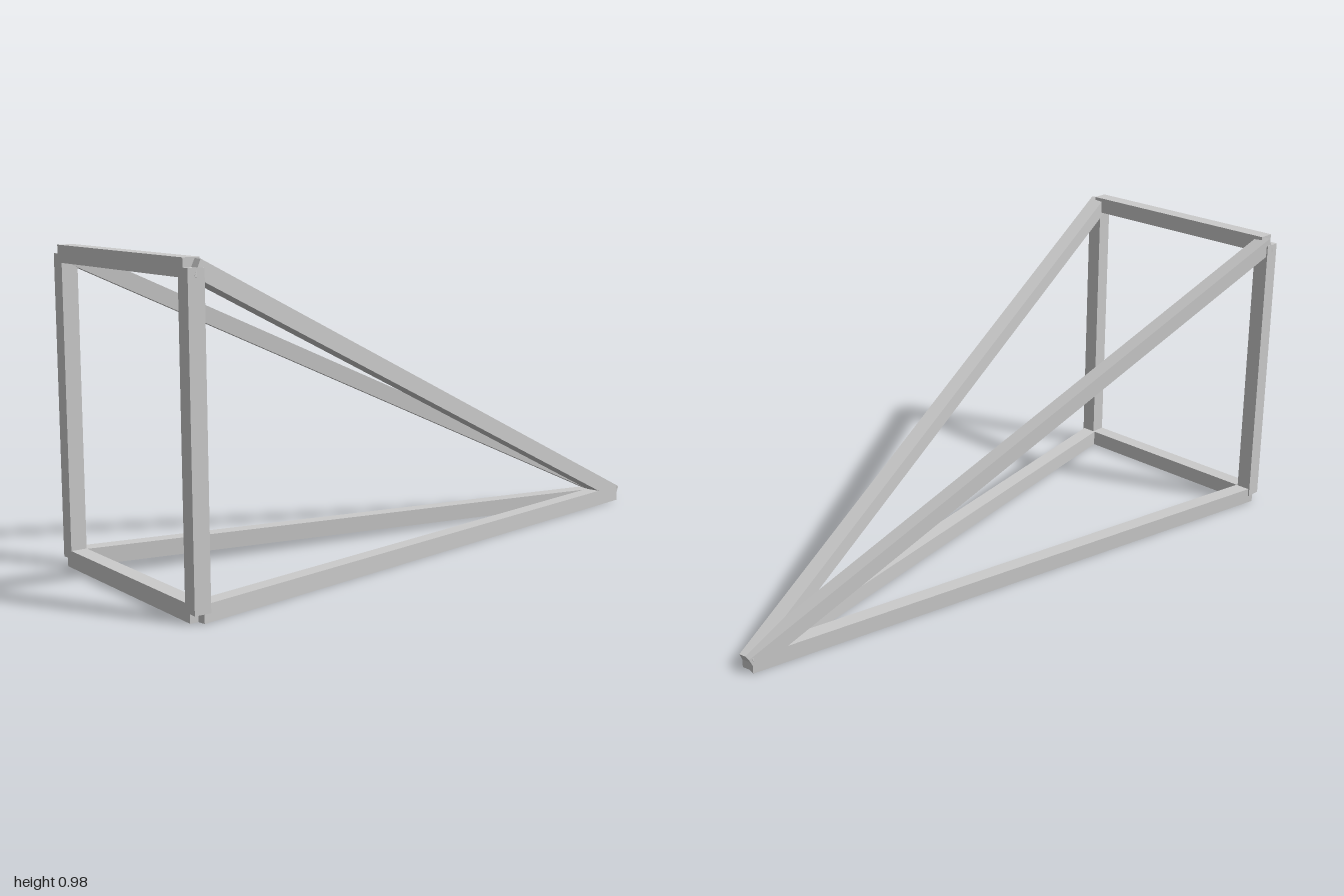
import * as THREE from 'three';

const WIDTH = 0.051, HEIGHT = 0.053;
const BACK = -0.975, LOW = 0.0265, HIGH = 0.958, HALF = 0.369;

export function createModel() {
  const group = new THREE.Group();
  const material = new THREE.MeshStandardMaterial({ color: 0xcccccc, flatShading: true });

  // Square bar running between two joints, kept upright without roll
  function bar(name, a, b, height = WIDTH) {
    const start = new THREE.Vector3(...a), end = new THREE.Vector3(...b);
    const mesh = new THREE.Mesh(new THREE.BoxGeometry(WIDTH, height, start.distanceTo(end)), material);
    mesh.name = name;
    mesh.position.copy(start).lerp(end, 0.5);
    if (a[0] === b[0] && a[2] === b[2]) mesh.rotation.x = Math.PI / 2;
    else mesh.lookAt(end);
    group.add(mesh);
  }

  const tip = [0.985, LOW, 0];

  // Posts and long bars, mirrored about the centre plane
  for (const [label, side] of [['front', 1], ['back', -1]]) {
    const low = [BACK, LOW, side * HALF], high = [BACK, HIGH, side * HALF];
    bar(label + 'Post', low, high);
    bar(label + 'BaseBar', low, tip, HEIGHT);
    bar(label + 'SlopingBar', high, tip);
  }

  // Crossbars joining the two posts
  bar('lowerCrossbar', [BACK, LOW, -HALF], [BACK, LOW, HALF], HEIGHT);
  bar('upperCrossbar', [BACK, HIGH, -HALF], [BACK, HIGH, HALF], HEIGHT);

  return group;
}
